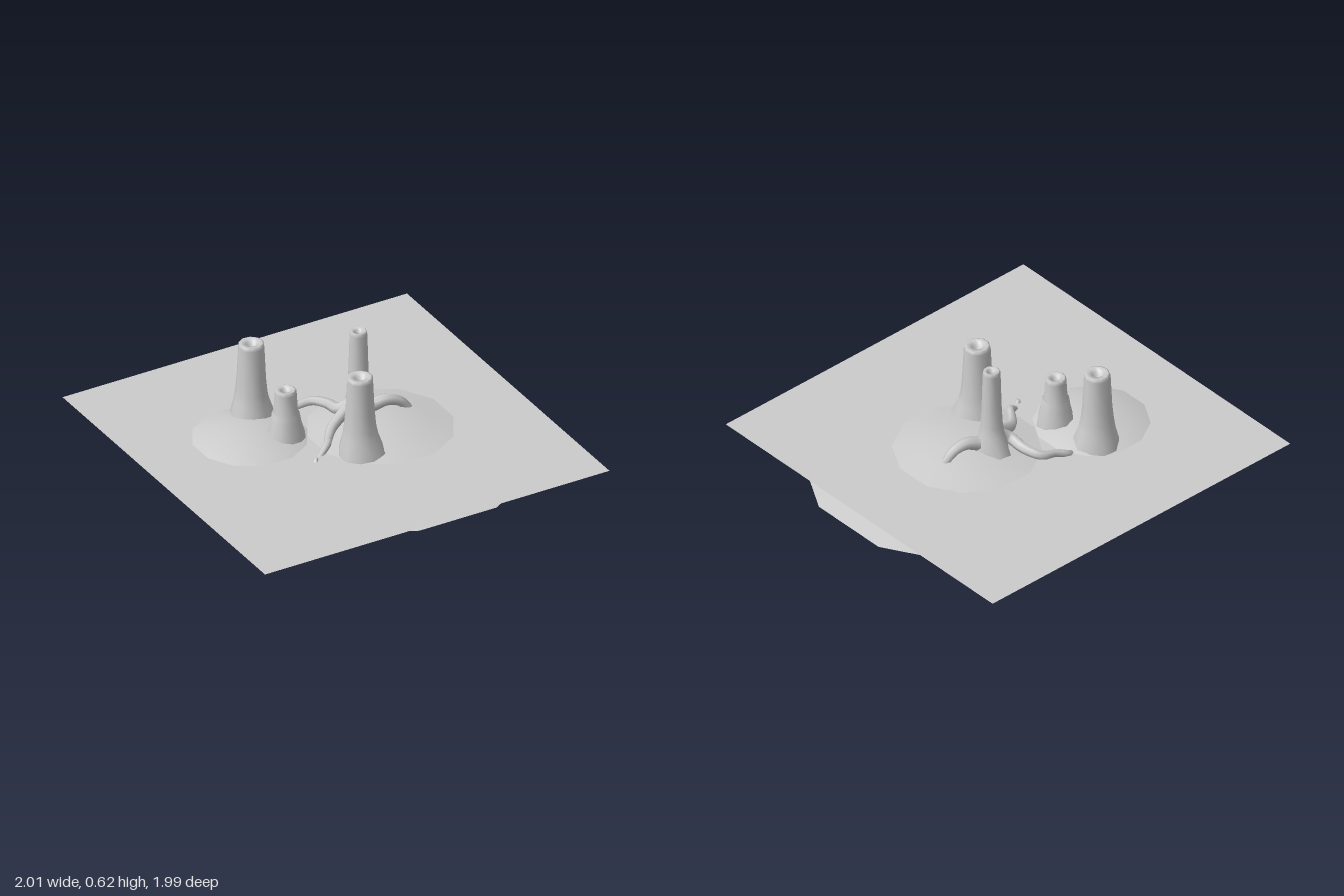
import * as THREE from 'three';
import { mergeVertices } from 'three/addons/utils/BufferGeometryUtils.js';

const grey = new THREE.MeshStandardMaterial({ color: 0xcccccc, side: THREE.DoubleSide });
const V2 = (a) => a.map(([x, y]) => new THREE.Vector2(x, y));

// Weld the seams so the shading stays smooth all round
function smooth(geo) {
  geo.deleteAttribute('uv');
  geo.deleteAttribute('normal');
  const g = mergeVertices(geo, 1e-4);
  g.computeVertexNormals();
  return g;
}

function add(group, name, geo) {
  const mesh = new THREE.Mesh(geo, grey);
  mesh.name = name;
  group.add(mesh);
  return mesh;
}

// Low mound: a lathe whose crown is shifted sideways by lean
function mound(profile, x, z, leanX) {
  const geo = new THREE.LatheGeometry(V2(profile), 12, Math.PI / 12);
  const p = geo.attributes.position;
  const top = profile[profile.length - 1][1];
  for (let i = 0; i < p.count; i++) {
    p.setX(i, p.getX(i) + x + leanX * Math.min(1, p.getY(i) / top * 1.4));
    p.setZ(i, p.getZ(i) + z);
  }
  return smooth(geo);
}

// Cut trunk: flared and lobed foot, rounded rim, hollow in the cut face
function trunk({ x, z, base, top, r, foot, turn, lobe, lobeDir }) {
  const h = top - base;
  const mid = (foot + r) / 2;
  const profile = [
    [foot, 0], [foot * 0.95, 0.045], [mid * 1.02, 0.11], [r * 1.3, 0.16],
    [r * 1.17, h * 0.55], [r * 1.04, h - 0.02], [r, h - 0.004], [r * 0.85, h],
    [r * 0.45, h - 0.006], [r * 0.4, h - 0.03], [0, h - 0.035],
  ];
  const geo = new THREE.LatheGeometry(V2(profile), 10, turn);
  const p = geo.attributes.position;
  for (let i = 0; i < p.count; i++) {
    const px = p.getX(i), py = p.getY(i), pz = p.getZ(i);
    const a = Math.atan2(pz, px);
    const low = Math.max(0, 1 - py / 0.15);
    const bulge = Math.pow(Math.max(0, Math.cos(a - lobeDir)), 4);
    const s = 1 + low * (lobe * bulge + 0.05 * Math.sin(3 * a + turn));
    p.setXYZ(i, x + px * s, base + py, z + pz * s);
  }
  return smooth(geo);
}

// Root: a tube that narrows to its tip
function root(points, r0, r1) {
  const curve = new THREE.CatmullRomCurve3(points.map((q) => new THREE.Vector3(...q)));
  const T = 28, R = 7;
  const geo = new THREE.TubeGeometry(curve, T, 1, R);
  const p = geo.attributes.position;
  const v = new THREE.Vector3();
  for (let i = 0; i <= T; i++) {
    const c = curve.getPointAt(i / T);
    const r = THREE.MathUtils.lerp(r0, r1, i / T);
    for (let j = 0; j <= R; j++) {
      const k = i * (R + 1) + j;
      v.fromBufferAttribute(p, k).sub(c).multiplyScalar(r).add(c);
      p.setXYZ(k, v.x, v.y, v.z);
    }
  }
  return smooth(geo);
}

export function createModel() {
  const model = new THREE.Group();
  model.name = 'treeStumps';

  // Flat ground sheet cutting through the mounds
  const ground = new THREE.PlaneGeometry(1.985, 1.99).rotateX(-Math.PI / 2);
  add(model, 'ground', ground.translate(-0.0075, 0.105, -0.005));

  // Two open mounds, mostly below the sheet
  add(model, 'largeMound', mound(
    [[0.86, 0.01], [0.62, 0.058], [0.375, 0.105], [0.25, 0.135], [0.13, 0.155], [0, 0.163]],
    0.175, 0.045, 0.05));
  add(model, 'smallMound', mound(
    [[0.485, 0.018], [0.395, 0.065], [0.295, 0.105], [0.2, 0.136], [0.1, 0.154], [0, 0.16]],
    -0.39, -0.2, 0));

  // Four trunks
  const trunks = [
    { name: 'backTrunk', x: -0.29, z: -0.355, base: 0.1, top: 0.54, r: 0.064, foot: 0.115, turn: 0.2, lobe: 0.08, lobeDir: 0.6 },
    { name: 'shortTrunk', x: -0.245, z: -0.095, base: 0.1, top: 0.39, r: 0.053, foot: 0.097, turn: 0.5, lobe: 0.08, lobeDir: 2.6 },
    { name: 'frontTrunk', x: 0.005, z: 0.21, base: 0.095, top: 0.545, r: 0.065, foot: 0.115, turn: 0.1, lobe: 0.2, lobeDir: 0.9 },
    { name: 'tallTrunk', x: 0.16, z: -0.07, base: 0.13, top: 0.62, r: 0.043, foot: 0.083, turn: 0.3, lobe: 0.4, lobeDir: -1.57 },
  ];
  for (const t of trunks) add(model, t.name, trunk(t));

  // Roots of the tall trunk, dipping into the soil and out again
  const roots = new THREE.Group();
  roots.name = 'roots';
  add(roots, 'backRoot', root([
    [0.15, 0.23, -0.07], [0.07, 0.18, -0.1], [0.06, 0.16, -0.2], [0.02, 0.145, -0.285],
    [-0.06, 0.13, -0.305], [-0.13, 0.105, -0.33], [-0.17, 0.075, -0.29], [-0.155, 0.1, -0.23],
    [-0.15, 0.07, -0.2]], 0.036, 0.01));
  add(roots, 'frontRoot', root([
    [0.15, 0.24, -0.07], [0.06, 0.19, -0.045], [-0.03, 0.15, -0.005], [-0.09, 0.135, 0.06],
    [-0.125, 0.14, 0.11], [-0.175, 0.1, 0.13], [-0.205, 0.085, 0.15], [-0.228, 0.115, 0.165],
    [-0.23, 0.085, 0.18]], 0.036, 0.011));
  add(roots, 'sideRoot', root([
    [0.15, 0.18, -0.07], [0.22, 0.185, -0.045], [0.29, 0.205, -0.025], [0.36, 0.185, -0.012],
    [0.41, 0.13, 0.0], [0.43, 0.08, 0.03], [0.48, 0.06, 0.02], [0.53, 0.006, 0.06]], 0.042, 0.007));
  model.add(roots);

  return model;
}
